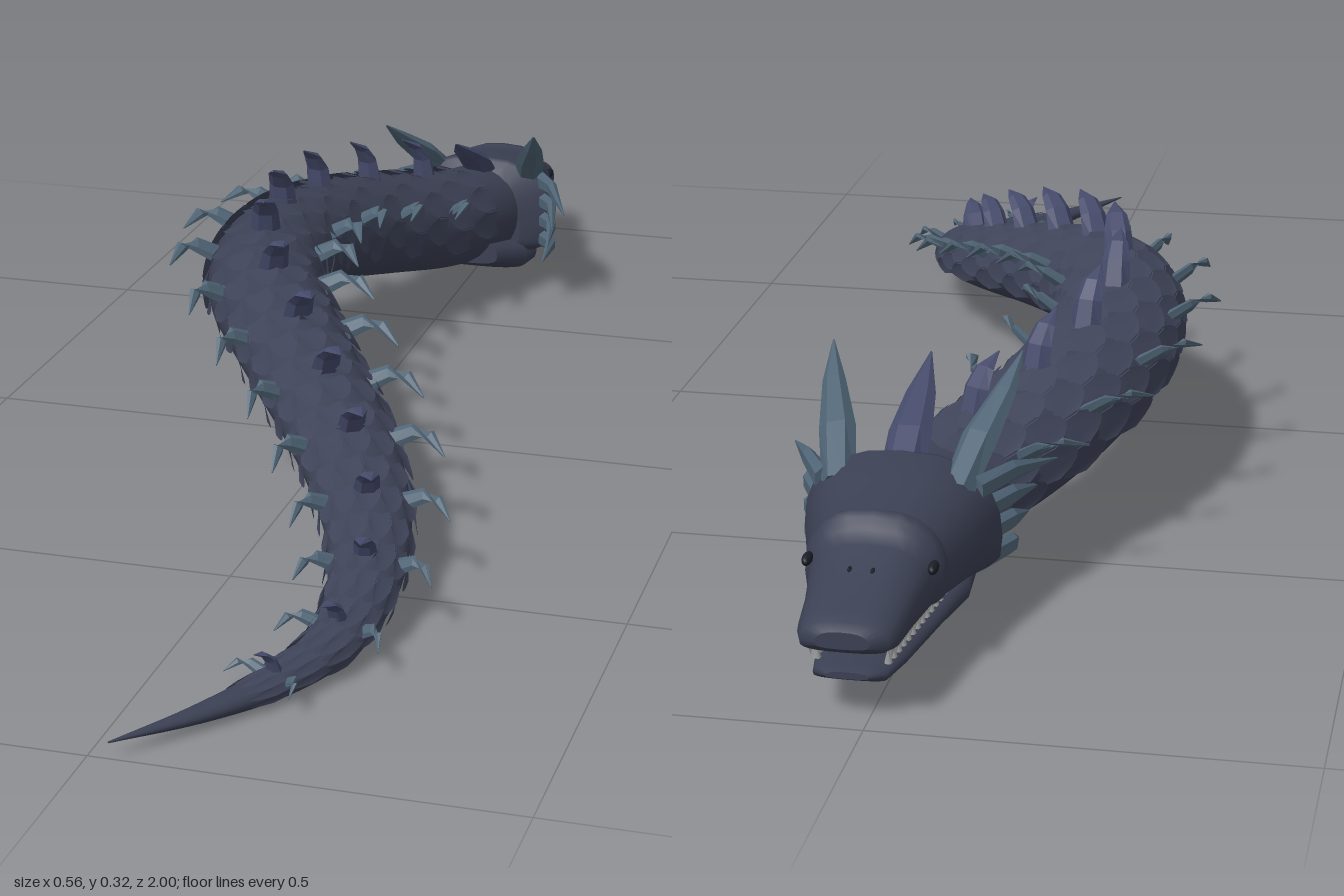
import * as THREE from 'three';
import { mergeGeometries } from 'three/addons/utils/BufferGeometryUtils.js';

const V = (x, y, z) => new THREE.Vector3(x, y, z);
const mat = (name, color, side = THREE.FrontSide) =>
  Object.assign(new THREE.MeshStandardMaterial({ color, side }), { name });

// spine stations, neck to tail: z, x, y, half width, half height
const STATIONS = [
  [-0.69, 0.02, 0.13, 0.074, 0.072], [-0.6, -0.015, 0.137, 0.077, 0.074], [-0.5, -0.07, 0.155, 0.08, 0.074],
  [-0.4, -0.115, 0.175, 0.082, 0.074], [-0.3, -0.142, 0.191, 0.083, 0.073], [-0.2, -0.15, 0.2, 0.082, 0.072],
  [-0.1, -0.14, 0.202, 0.081, 0.071], [0, -0.108, 0.197, 0.079, 0.068], [0.1, -0.05, 0.181, 0.076, 0.062],
  [0.2, 0.015, 0.158, 0.072, 0.055], [0.3, 0.082, 0.131, 0.068, 0.048], [0.4, 0.138, 0.103, 0.061, 0.041],
  [0.5, 0.178, 0.078, 0.052, 0.034], [0.6, 0.198, 0.057, 0.043, 0.028], [0.7, 0.194, 0.037, 0.034, 0.024],
  [0.8, 0.155, 0.026, 0.025, 0.018], [0.9, 0.095, 0.024, 0.014, 0.01], [1, 0.025, 0.028, 0.001, 0.001],
];
const spine = new THREE.CatmullRomCurve3(STATIONS.map(s => V(s[1], s[2], s[0])), false, 'catmullrom');
const girth = new THREE.CatmullRomCurve3(STATIONS.map(s => V(s[3], s[4], 0)), false, 'catmullrom');

function frame(u) {
  u = Math.min(Math.max(u, 0), 1);
  const p = spine.getPointAt(u), T = spine.getTangentAt(u);
  const S = V(0, 1, 0).cross(T).normalize(), N = T.clone().cross(S);
  return { p, T, S, N, r: girth.getPoint(spine.getUtoTmapping(u)) };
}

// point on the body skin at angle a, raised by lift
function skin(f, a, lift = 0) {
  return f.p.clone().addScaledVector(f.S, Math.cos(a) * (f.r.x + lift))
    .addScaledVector(f.N, Math.sin(a) * (f.r.y + lift));
}

// surface through closed rings, capped at both ends
function loft(rings, faceted = false) {
  const n = rings[0].length, pts = rings.flat(), idx = [];
  for (let i = 0; i < rings.length - 1; i++) for (let j = 0; j < n; j++) {
    const a = i * n + j, b = i * n + (j + 1) % n;
    idx.push(a, b, a + n, b, b + n, a + n);
  }
  [rings[0], rings.at(-1)].forEach((ring, e) => {
    const start = pts.length;
    pts.push(...ring, ring.reduce((s, p) => s.add(p), V(0, 0, 0)).divideScalar(n));
    for (let j = 0; j < n; j++) {
      const a = start + j, b = start + (j + 1) % n;
      idx.push(start + n, e ? a : b, e ? b : a);
    }
  });
  let g = new THREE.BufferGeometry().setFromPoints(pts);
  g.setIndex(idx);
  if (faceted) g = g.toNonIndexed();
  g.computeVertexNormals();
  return g;
}

// tapered hook along a path; sizes are [half width, half thickness]
function hook(path, sizes, side) {
  return loft(path.map((p, i) => {
    const T = path[Math.min(i + 1, path.length - 1)].clone().sub(path[Math.max(i - 1, 0)]).normalize();
    const S = side.clone().addScaledVector(T, -side.dot(T)).normalize(), N = T.clone().cross(S);
    return Array.from({ length: 6 }, (_, k) => {
      const a = k * Math.PI / 3;
      return p.clone().addScaledVector(S, Math.cos(a) * sizes[i][0]).addScaledVector(N, Math.sin(a) * sizes[i][1]);
    });
  }), true);
}

// one overlapping scale laid on the skin, raised at its rear edge
function scalePlate(u, len, a0, half) {
  const g = new THREE.PlaneGeometry(2, 1, 6, 3), pos = g.attributes.position;
  for (let i = 0; i < pos.count; i++) {
    const v = pos.getX(i), w = pos.getY(i) + 0.5;
    const f = frame(u + w * len * (1 - 0.4 * v * v));
    const p = skin(f, a0 - v * half, (-0.004 + 0.012 * w) * Math.min(1, f.r.x / 0.06));
    pos.setXYZ(i, p.x, p.y, p.z);
  }
  g.computeVertexNormals();
  return g;
}

// head sections: z, half width, top, bottom
const HEAD_X = 0.022;
function headLoft(sections) {
  return loft(sections.map(([z, w, top, bottom]) => Array.from({ length: 24 }, (_, k) => {
    const a = k * Math.PI / 12, c = Math.cos(a), s = Math.sin(a), mid = bottom + (top - bottom) * 0.35;
    const y = s > 0 ? mid + (top - mid) * s ** 0.9 : mid - (mid - bottom) * (-s) ** 0.5;
    return V(HEAD_X + w * Math.sign(c) * Math.abs(c) ** 0.75, y, z);
  })));
}

export function createModel() {
  const group = new THREE.Group();
  const hide = mat('hide', 0x3b4053), plate = mat('scale', 0x3f4459, THREE.DoubleSide);
  const dorsal = mat('dorsalSpine', 0x454a6a), horn = mat('horn', 0x4f6475);
  const tooth = mat('tooth', 0x9a9c9c), dark = mat('mouthAndEyes', 0x1c1e28);
  const add = (name, g, m) => {
    const mesh = new THREE.Mesh(Array.isArray(g) ? mergeGeometries(g) : g, m);
    mesh.name = name;
    group.add(mesh);
  };

  // body
  const rings = [];
  for (let i = 0; i <= 80; i++) {
    const f = frame(i / 80);
    rings.push(Array.from({ length: 24 }, (_, k) => skin(f, k * Math.PI / 12)));
  }
  add('body', loft(rings), hide);

  // staggered scales over the back and flanks
  const scales = [], ROWS = 30;
  for (let i = 0; i < ROWS; i++) for (let k = 0; k < 7 + i % 2; k++) {
    const a = Math.PI / 2 + (k - (6 + i % 2) / 2) * 0.5;
    scales.push(scalePlate(0.02 + i * 0.029, 0.044, a, 0.27));
  }
  add('scales', scales, plate);

  // back spines and side spines
  const backSpines = [], sideSpines = [];
  for (let i = 0; i < 13; i++) {
    const f = frame(0.085 + i * 0.066), k = Math.min(1, 0.3 + 0.75 * f.r.x / 0.08);
    const base = skin(f, Math.PI / 2);
    const at = (o, dir, out, up, back) => o.clone().addScaledVector(dir, out * k)
      .addScaledVector(f.N, up * k).addScaledVector(f.T, back * k);
    backSpines.push(hook(
      [[-0.01, -0.01], [0.028, 0.004], [0.046, 0.022], [0.056, 0.05]].map(([up, back]) => at(base, f.S, 0, up, back)),
      [[0.021, 0.016], [0.018, 0.01], [0.014, 0.006], [0.001, 0.001]].map(s => s.map(v => v * k)), f.S));
    for (const s of [1, -1]) {
      const flank = skin(f, Math.PI / 2 - s * 1.1), dir = f.S.clone().multiplyScalar(s);
      sideSpines.push(hook(
        [[-0.012, -0.008, -0.012], [0.025, 0.014, 0], [0.044, 0.018, 0.018], [0.058, 0.002, 0.05]]
          .map(([out, up, back]) => at(flank, dir, out, up, back)),
        [[0.016, 0.008], [0.012, 0.006], [0.009, 0.005], [0.001, 0.001]].map(v => v.map(x => x * k)), f.T.clone().add(dir)));
    }
  }
  add('backSpines', backSpines, dorsal);
  add('sideSpines', sideSpines, horn);

  // skull with a raised brow band, and the lower jaw
  add('skull', headLoft([
    [-1, 0.03, 0.122, 0.102], [-0.99, 0.05, 0.13, 0.094], [-0.97, 0.057, 0.136, 0.09], [-0.92, 0.062, 0.15, 0.088],
    [-0.87, 0.07, 0.17, 0.086], [-0.85, 0.074, 0.18, 0.086], [-0.846, 0.079, 0.194, 0.084], [-0.83, 0.083, 0.197, 0.083],
    [-0.826, 0.081, 0.19, 0.083], [-0.76, 0.1, 0.205, 0.078], [-0.695, 0.118, 0.215, 0.066], [-0.685, 0.115, 0.212, 0.065],
    [-0.67, 0.07, 0.19, 0.07]]), hide);
  add('lowerJaw', headLoft([
    [-0.98, 0.024, 0.066, 0.058], [-0.965, 0.042, 0.07, 0.05], [-0.91, 0.052, 0.071, 0.046], [-0.8, 0.068, 0.072, 0.043],
    [-0.72, 0.085, 0.085, 0.042], [-0.66, 0.082, 0.1, 0.046], [-0.6, 0.05, 0.11, 0.07]]), hide);
  const mouth = new THREE.BoxGeometry(0.085, 0.03, 0.2);
  mouth.translate(HEAD_X, 0.08, -0.79);
  add('mouthInterior', mouth, dark);

  // teeth in both jaws
  const teeth = [];
  for (let i = 0; i < 14; i++) for (const s of [1, -1]) {
    const z = -0.96 + i * 0.016, x = HEAD_X + s * (0.04 + i * 0.0018);
    const upper = new THREE.ConeGeometry(0.005, 0.018, 5).rotateX(Math.PI).translate(x + s * 0.005, 0.083, z);
    const lower = new THREE.ConeGeometry(0.005, 0.018, 5).translate(x, 0.077, z + 0.008);
    teeth.push(upper, lower);
  }
  add('teeth', teeth, tooth);

  // eyes below the brow and nostrils on the snout
  const pits = [];
  for (const s of [1, -1]) {
    pits.push(new THREE.SphereGeometry(0.01, 12, 8).scale(0.6, 0.7, 1.4).translate(HEAD_X + s * 0.072, 0.145, -0.862));
    pits.push(new THREE.SphereGeometry(0.005, 8, 6).scale(0.7, 0.6, 2.2).translate(HEAD_X + s * 0.013, 0.154, -0.9));
  }
  add('eyesAndNostrils', pits, dark);

  // crown horns, with a shorter one in the middle
  const horns = [], frill = [];
  for (const s of [1, -1]) {
    horns.push(hook(
      [[0.07, 0.18, -0.72], [0.085, 0.225, -0.66], [0.103, 0.262, -0.6], [0.115, 0.295, -0.55]]
        .map(([x, y, z]) => V(HEAD_X + s * x, y, z)),
      [[0.02, 0.02], [0.022, 0.016], [0.014, 0.01], [0.001, 0.001]], V(1, 0, 0)));
    // frill spikes behind the cheeks
    for (let i = 0; i < 4; i++) {
      const y = 0.18 - i * 0.03, w = i === 0 ? 0.16 : 0.15 - i * 0.01;
      frill.push(hook(
        [V(HEAD_X + s * 0.09, y, -0.71), V(HEAD_X + s * 0.122, y + 0.004, -0.655), V(HEAD_X + s * w, y - 0.01, -0.57 - i * 0.012)],
        [[0.016, 0.012], [0.013, 0.008], [0.001, 0.001]], V(0, 1, 0)));
    }
  }
  add('crownHorns', horns, horn);
  add('cheekFrill', frill, horn);
  add('middleHorn', hook(
    [V(HEAD_X, 0.18, -0.71), V(HEAD_X, 0.222, -0.65), V(HEAD_X, 0.25, -0.59), V(HEAD_X, 0.28, -0.53)],
    [[0.026, 0.02], [0.026, 0.014], [0.018, 0.009], [0.001, 0.001]], V(1, 0, 0)), dorsal);

  return group;
}
